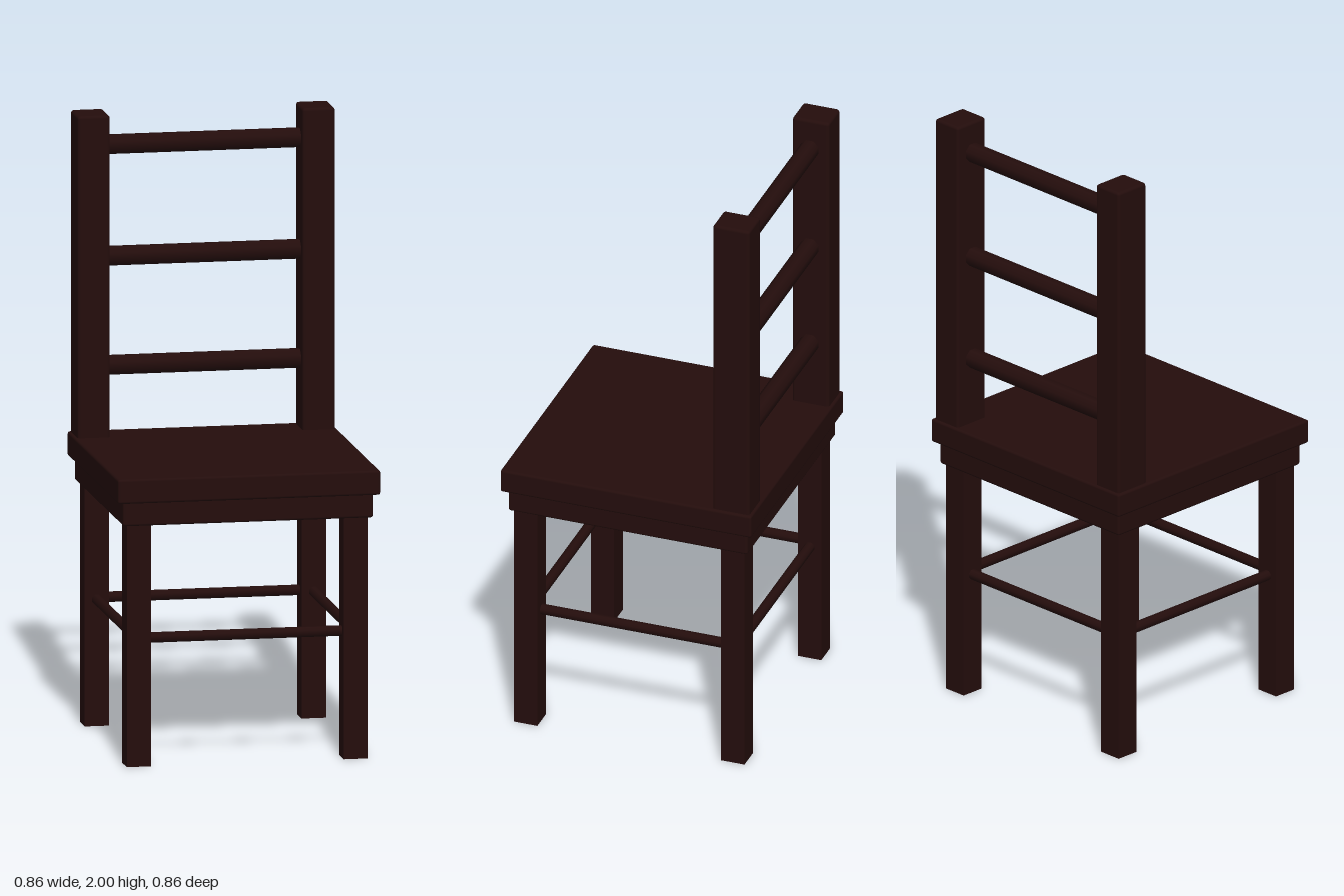
import * as THREE from 'three';
import { RoundedBoxGeometry } from 'three/addons/geometries/RoundedBoxGeometry.js';

export function createModel() {
  const chair = new THREE.Group();
  chair.name = 'chair';
  const wood = new THREE.MeshStandardMaterial({ color: 0x240d0c });
  wood.name = 'darkWood';

  const add = (name, geometry, x, y, z) => {
    const mesh = new THREE.Mesh(geometry, wood);
    mesh.name = name;
    mesh.position.set(x, y, z);
    chair.add(mesh);
    return mesh;
  };
  // Softened block resting on height y0
  const block = (name, w, h, d, x, y0, z, r = 0.008) =>
    add(name, new RoundedBoxGeometry(w, h, d, 2, r), x, y0 + h / 2, z);
  // Eight-sided rod with flat faces up and front, lying along x
  const rod = (name, thickness, length, x, y, z) => {
    const g = new THREE.CylinderGeometry(
      thickness / 2 / Math.cos(Math.PI / 8), thickness / 2 / Math.cos(Math.PI / 8), length, 8);
    g.rotateY(Math.PI / 8).rotateZ(Math.PI / 2);
    return add(name, g, x, y, z);
  };

  // Seat and the apron beneath it
  block('seat', 0.86, 0.08, 0.86, 0, 0.867, 0);
  block('apron', 0.82, 0.09, 0.82, 0, 0.79, 0);

  for (const side of [1, -1]) {
    const label = side > 0 ? 'left' : 'right';
    // Legs and back posts
    add(label + 'FrontLeg', new THREE.BoxGeometry(0.08, 0.8, 0.08), side * 0.355, 0.4, 0.355);
    add(label + 'BackLeg', new THREE.BoxGeometry(0.08, 0.8, 0.08), side * 0.355, 0.4, -0.355);
    block(label + 'BackPost', 0.106, 1.08, 0.126, side * 0.368, 0.92, -0.358, 0.01);
    // Stretchers between the legs
    rod(label + 'Stretcher', 0.032, 0.66, side * 0.355, 0.414, 0).rotation.y = Math.PI / 2;
    rod(side > 0 ? 'frontStretcher' : 'backStretcher', 0.032, 0.66, 0, 0.414, side * 0.355);
  }

  // Back rails
  [1.173, 1.53, 1.895].forEach((y, i) => rod('backRail' + (i + 1), 0.06, 0.66, 0, y, -0.355));

  return chair;
}
